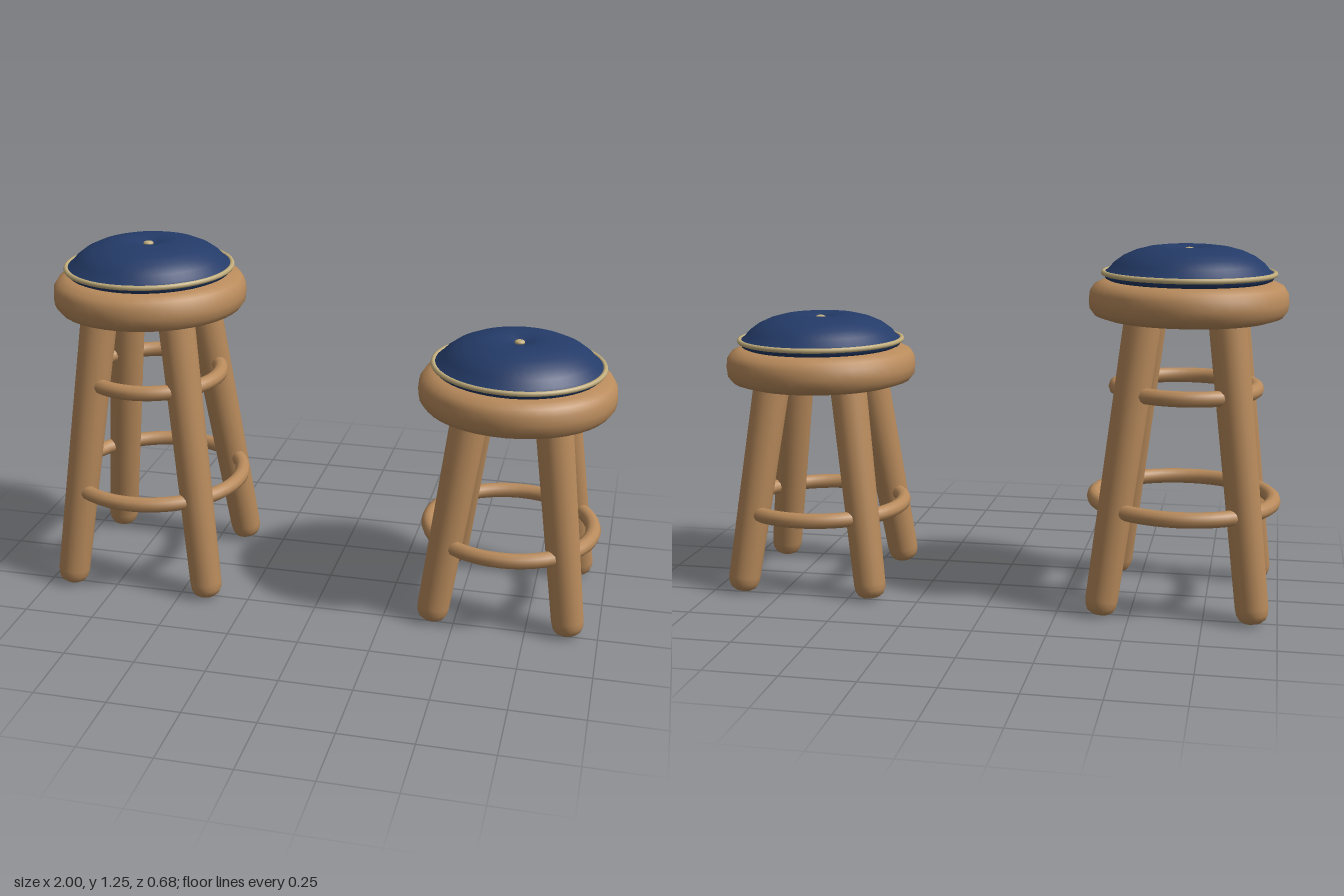
import * as THREE from 'three';
import { toCreasedNormals } from 'three/addons/utils/BufferGeometryUtils.js';

const wood = new THREE.MeshStandardMaterial({ name: 'wood', color: 0xb98b5c });
const fabric = new THREE.MeshStandardMaterial({ name: 'blue fabric', color: 0x243b68 });
const trim = new THREE.MeshStandardMaterial({ name: 'cream trim', color: 0xc2ae7d });

function mesh(name, geometry, material) {
  const m = new THREE.Mesh(geometry, material);
  m.name = name;
  return m;
}

// Turned part from [radius, height] pairs, listed from the bottom up
function turned(points, sides, crease = 0.9) {
  const profile = points.map(([r, y]) => new THREE.Vector2(r, y));
  return toCreasedNormals(new THREE.LatheGeometry(profile, sides), crease);
}

function hoop(name, radius, tube, y, material, sides = 10) {
  const m = mesh(name, new THREE.TorusGeometry(radius, tube, sides, 48), material);
  m.rotation.x = Math.PI / 2;
  m.position.y = y;
  return m;
}

// seatY: underside of the seat; foot, top: leg offsets in x and z
function createStool(name, seatY, foot, top, rungs) {
  const stool = new THREE.Group();
  stool.name = name;

  // Thick rounded seat
  const seat = mesh('seat', turned([
    [0, 0], [0.285, 0], [0.322, 0.012], [0.338, 0.033], [0.341, 0.06],
    [0.338, 0.092], [0.324, 0.114], [0.295, 0.128], [0.26, 0.132], [0, 0.132],
  ], 40), wood);
  seat.position.y = seatY;
  stool.add(seat);

  // Domed cushion with a tufted centre
  const cushion = mesh('cushion', turned([
    [0, 0.13], [0.27, 0.13], [0.284, 0.136], [0.292, 0.148], [0.292, 0.158],
    [0.276, 0.167], [0.256, 0.19], [0.225, 0.213], [0.185, 0.231], [0.14, 0.243],
    [0.1, 0.248], [0.07, 0.246], [0.045, 0.241], [0.025, 0.232], [0, 0.226],
  ], 48), fabric);
  cushion.position.y = seatY;
  stool.add(cushion);

  // Piping and button
  stool.add(hoop('piping', 0.292, 0.009, seatY + 0.156, trim, 8));
  const button = mesh('button', new THREE.SphereGeometry(0.018, 16, 10), trim);
  button.scale.y = 0.5;
  button.position.y = seatY + 0.235;
  stool.add(button);

  // Four splayed, tapered legs with rounded feet
  for (const sx of [-1, 1]) {
    for (const sz of [-1, 1]) {
      const start = new THREE.Vector3(sx * foot, 0.005, sz * foot);
      const axis = new THREE.Vector3(sx * top, seatY + 0.02, sz * top).sub(start);
      const leg = mesh('leg', turned([
        [0, 0], [0.028, 0], [0.044, 0.01], [0.053, 0.027], [0.056, 0.05],
        [0.064, axis.length()],
      ], 20), wood);
      leg.position.copy(start);
      leg.quaternion.setFromUnitVectors(new THREE.Vector3(0, 1, 0), axis.normalize());
      stool.add(leg);
    }
  }

  // Ring rungs passing through the legs
  for (const [radius, y] of rungs) {
    stool.add(hoop('ringRung', radius, 0.027, y, wood));
  }
  return stool;
}

export function createModel() {
  const group = new THREE.Group();
  group.name = 'stools';
  const tall = createStool('tallStool', 1.0, 0.26, 0.14, [[0.312, 0.365], [0.241, 0.76]]);
  tall.position.x = -0.659;
  const short = createStool('shortStool', 0.735, 0.24, 0.14, [[0.291, 0.287]]);
  short.position.x = 0.659;
  group.add(tall, short);
  return group;
}
